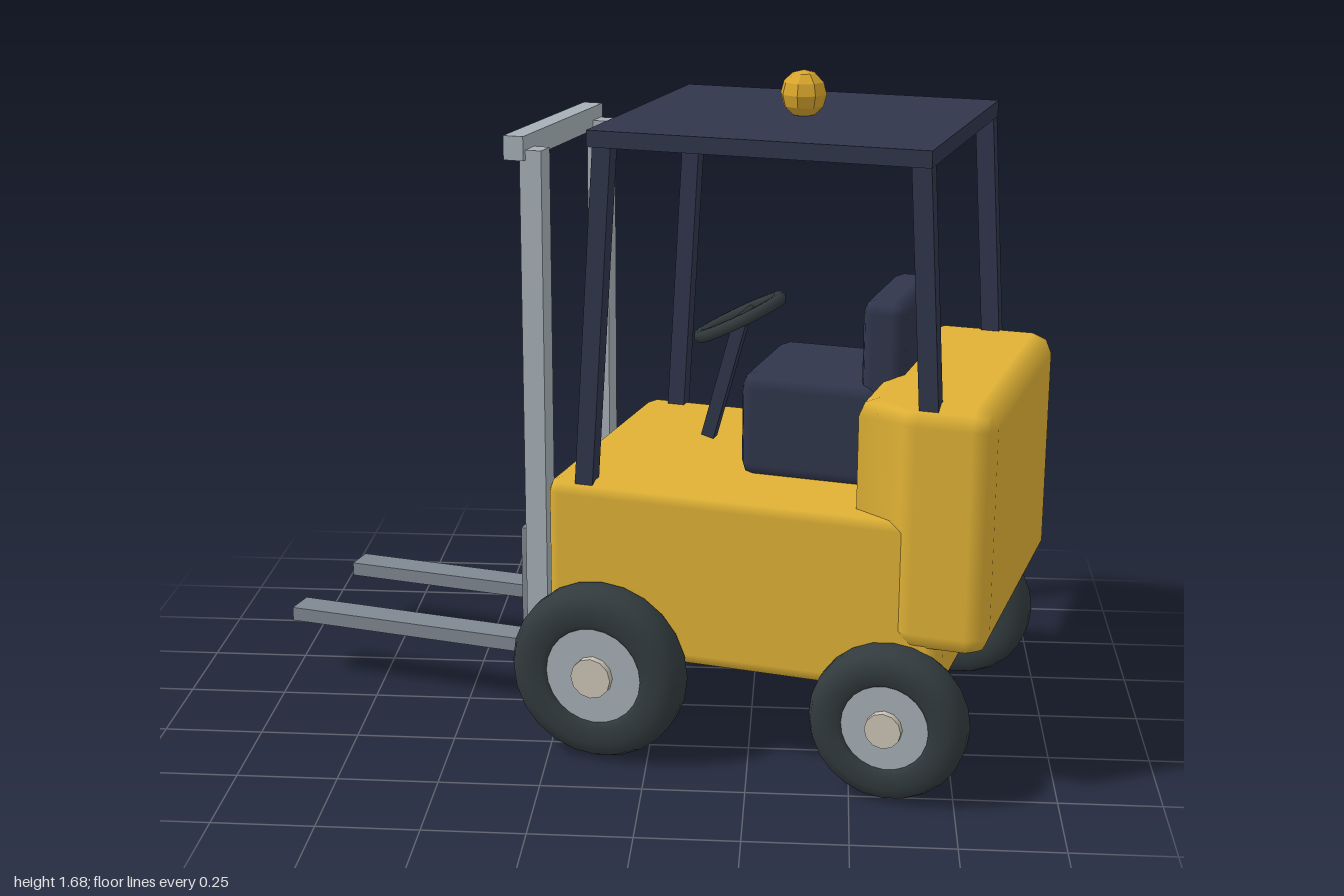
import * as THREE from 'three';
import { RoundedBoxGeometry } from 'three/addons/geometries/RoundedBoxGeometry.js';

const mat = (name, color, extra = {}) => {
  const m = new THREE.MeshStandardMaterial({ color, ...extra });
  m.name = name;
  return m;
};

export function createModel() {
  const yellow = mat('yellowPaint', 0xdfb135);
  const amber = mat('amberLamp', 0xd9a62c, { flatShading: true });
  const navy = mat('navyBlue', 0x30364c);
  const rubber = mat('rubber', 0x323b3e);
  const steel = mat('lightSteel', 0xa6b0b6);
  const forkGrey = mat('forkSteel', 0x7f8791);
  const cream = mat('hubCream', 0xcdc5b5);

  const model = new THREE.Group();
  model.name = 'forklift';
  // Truck is built facing -x, then turned slightly about y
  const truck = new THREE.Group();
  truck.name = 'truck';
  truck.rotation.y = -Math.PI / 12;
  truck.position.set(0.023, 0, -0.087);
  model.add(truck);

  const add = (name, geo, material, x = 0, y = 0, z = 0, parent = truck) => {
    const m = new THREE.Mesh(geo, material);
    m.name = name;
    m.position.set(x, y, z);
    parent.add(m);
    return m;
  };
  // Box given by its limits in x and y, its width and its centre z; r chamfers it
  const block = (name, material, x0, x1, y0, y1, width, z = 0, r = 0) => {
    const s = [x1 - x0, y1 - y0, width];
    const geo = r ? new RoundedBoxGeometry(...s, 1, r) : new THREE.BoxGeometry(...s);
    return add(name, geo, material, (x0 + x1) / 2, (y0 + y1) / 2, z);
  };
  // Bar between two points
  const bar = (name, material, a, b, thick, round = false) => {
    const p = new THREE.Vector3(...a), q = new THREE.Vector3(...b);
    const d = q.clone().sub(p), len = d.length();
    const geo = round ? new THREE.CylinderGeometry(thick / 2, thick / 2, len, 8)
      : new THREE.BoxGeometry(thick, len, thick);
    const m = add(name, geo, material, ...p.add(q).multiplyScalar(0.5).toArray());
    m.quaternion.setFromUnitVectors(new THREE.Vector3(0, 1, 0), d.normalize());
    return m;
  };

  // Body
  block('chassis', yellow, -0.19, 0.81, 0.25, 0.7, 0.774, 0, 0.035);
  const weight = block('counterweight', yellow, 0.59, 0.92, 0.37, 0.98, 0.8, 0, 0.05);
  // Widen the chamfer on the two front upright corners
  const pos = weight.geometry.attributes.position;
  for (let i = 0; i < pos.count; i++) {
    if (pos.getX(i) < 0 && Math.abs(pos.getZ(i)) > 0.37) pos.setX(i, pos.getX(i) + 0.1);
  }
  weight.geometry.computeBoundingSphere();

  // Seat
  block('seatCushion', navy, 0.245, 0.6, 0.69, 0.955, 0.37, 0, 0.035);
  block('seatBack', navy, 0.545, 0.65, 0.85, 1.16, 0.345, 0, 0.03);

  // Steering
  bar('steeringColumn', navy, [0.11, 0.73, 0], [0.195, 1.045, 0], 0.034);
  const ring = add('steeringWheel', new THREE.TorusGeometry(0.112, 0.017, 6, 20), rubber, 0.19, 1.05, 0);
  ring.rotation.set(-Math.PI / 2, 0.48, 0, 'ZYX');
  ring.quaternion.setFromUnitVectors(new THREE.Vector3(0, 0, 1), new THREE.Vector3(-0.46, 0.89, 0).normalize());
  bar('steeringSpoke', rubber, [0.19, 1.05, -0.11], [0.19, 1.05, 0.11], 0.016, true);

  // Overhead guard and lamp
  block('roof', navy, -0.075, 0.75, 1.53, 1.57, 0.76);
  for (const s of [-1, 1]) {
    bar('frontPillar', navy, [-0.093, 0.68, s * 0.35], [-0.043, 1.54, s * 0.34], 0.046);
    bar('rearPillar', navy, [0.765, 0.93, s * 0.36], [0.725, 1.54, s * 0.352], 0.046);
  }
  add('beacon', new THREE.SphereGeometry(0.058, 8, 6), amber, 0.345, 1.622, 0);

  // Mast and forks
  block('mastCrossbar', steel, -0.332, -0.28, 1.465, 1.525, 0.545);
  for (const s of [-1, 1]) {
    block('mastRail', steel, -0.296, -0.239, 0.07, 1.49, 0.057, s * 0.23);
    block('forkCarriage', forkGrey, -0.325, -0.285, 0.152, 0.5, 0.08, s * 0.18);
    block('fork', forkGrey, -1.0, -0.3, 0.153, 0.19, 0.08, s * 0.18);
  }

  // Wheels: tyre, disc and hub cap, all alike on both faces
  const half = [[0.54, 0.045], [0.6, 0.058], [0.8, 0.06], [0.94, 0.046], [1, 0.018]];
  const profile = [...half.map(([r, t]) => [r, -t]), ...half.reverse(), [0.54, -0.045]];
  const wheel = (name, x, z, R) => {
    const g = new THREE.Group();
    g.name = name;
    g.position.set(x, R, z);
    g.rotation.x = Math.PI / 2;
    truck.add(g);
    const pts = profile.map(([r, t]) => new THREE.Vector2(r * R, t));
    add('tyre', new THREE.LatheGeometry(pts, 24), rubber, 0, 0, 0, g);
    add('wheelDisc', new THREE.CylinderGeometry(0.56 * R, 0.56 * R, 0.094, 24), steel, 0, 0, 0, g);
    add('hubCap', new THREE.CylinderGeometry(0.23 * R, 0.23 * R, 0.132, 12), cream, 0, 0, 0, g);
  };
  for (const s of [-1, 1]) {
    wheel('frontWheel', -0.04, s * 0.41, 0.225);
    wheel('rearWheel', 0.697, s * 0.403, 0.194);
  }
  return model;
}
